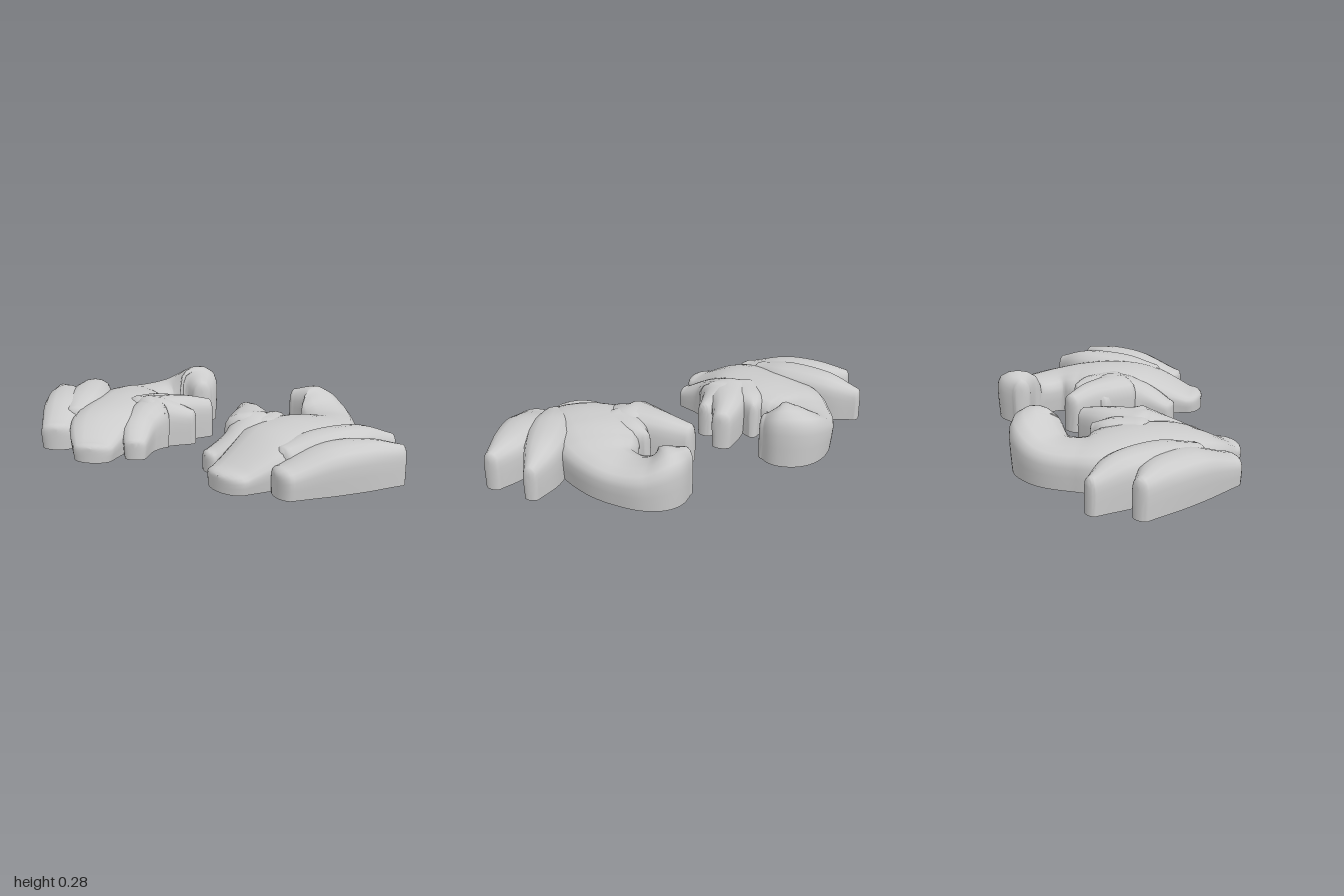
import * as THREE from 'three';
import { toCreasedNormals } from 'three/addons/utils/BufferGeometryUtils.js';

const material = new THREE.MeshStandardMaterial({ color: 0xcccccc });

// Cross-section of a lobe: [share of half width, share of height]
const half = [[0.92, 0], [0.975, 0.35], [1, 0.6], [0.96, 0.75], [0.82, 0.88], [0.45, 0.97]];
const profile = [...half.map(([u, v]) => [-u, v]), [0, 1], ...half.slice().reverse()];

// Lofted lobe along a spine of rows [x, z, half width, height], with rounded ends
function lobe(name, rows) {
  const spine = new THREE.CatmullRomCurve3(rows.map(([x, z, , h]) => new THREE.Vector3(x, h, z)), false, 'catmullrom');
  const widths = new THREE.CatmullRomCurve3(rows.map(([, , w]) => new THREE.Vector3(w, 0, 0)), false, 'catmullrom');
  const section = t => {
    const dir = spine.getTangent(t).setY(0).normalize();
    return { mid: spine.getPoint(t), dir, w: widths.getPoint(t).x };
  };

  // End rings narrow to a line and sink slightly while moving outwards
  const cap = (t, sign) => [1, 2, 3, 4, 5, 6].map(k => {
    const s = section(t), a = k / 6 * Math.PI / 2;
    s.mid.addScaledVector(s.dir, sign * s.w * 0.55 * Math.sin(a));
    s.mid.y *= 0.75 + 0.25 * Math.cos(a);
    s.w *= Math.cos(a);
    return s;
  });

  const steps = (rows.length - 1) * 8;
  const body = Array.from({ length: steps + 1 }, (_, i) => section(i / steps));
  const sections = [...cap(0, -1).reverse(), ...body, ...cap(1, 1)];

  const P = profile.length, pos = [], idx = [];
  for (const { mid, dir, w } of sections) {
    for (const [u, v] of profile) {
      pos.push(mid.x - dir.z * w * u, mid.y * v, mid.z + dir.x * w * u);
    }
  }
  for (let i = 0; i < sections.length - 1; i++) {
    for (let j = 0; j < P; j++) {
      const a = i * P + j, b = i * P + (j + 1) % P;
      idx.push(a, b, a + P, b, b + P, a + P);
    }
  }
  const geo = new THREE.BufferGeometry();
  geo.setAttribute('position', new THREE.Float32BufferAttribute(pos, 3));
  geo.setIndex(idx);
  const mesh = new THREE.Mesh(toCreasedNormals(geo, 0.95), material);
  mesh.name = name;
  return mesh;
}

// Lobes shared by both leaves; shift adjusts each one on the turned left leaf
const outerLobe = { name: 'outerLobe', shift: [0.012, 0.008], rows: [
  [0.64, 0.395, 0.085, 0.13], [0.73, 0.22, 0.115, 0.195], [0.845, 0.065, 0.098, 0.205], [0.957, -0.04, 0.042, 0.18]] };
const secondLobe = { name: 'secondLobe', shift: [-0.05, 0.03], rows: [
  [0.63, 0.26, 0.07, 0.18], [0.69, 0.1, 0.11, 0.215], [0.79, -0.1, 0.09, 0.215], [0.882, -0.23, 0.036, 0.165]] };
const innerLobe = { name: 'innerLobe', shift: [-0.008, 0], rows: [
  [0.222, 0.345, 0.055, 0.1], [0.28, 0.21, 0.09, 0.18], [0.265, 0.07, 0.12, 0.225], [0.12, 0.002, 0.04, 0.17]] };
const innerTip = { name: 'innerTip', shift: [-0.06, 0.005], rows: [
  [0.31, 0.08, 0.12, 0.225], [0.21, -0.06, 0.08, 0.215], [0.122, -0.15, 0.05, 0.19]] };
const innerSideTip = { name: 'innerSideTip', shift: [-0.045, 0.02], rows: [
  [0.37, 0.06, 0.11, 0.215], [0.34, -0.07, 0.075, 0.205], [0.31, -0.14, 0.026, 0.18]] };
const lobes = [outerLobe, secondLobe, innerLobe, innerTip, innerSideTip];

// Broad stems ending in raised curls, which differ between the leaves
const rightStem = [
  [0.38, 0.46, 0.1, 0.09], [0.45, 0.28, 0.168, 0.18], [0.48, 0.05, 0.19, 0.205], [0.545, -0.13, 0.17, 0.195],
  [0.535, -0.24, 0.138, 0.18], [0.48, -0.345, 0.132, 0.19], [0.385, -0.4, 0.126, 0.26],
  [0.305, -0.385, 0.1, 0.275], [0.255, -0.325, 0.05, 0.22]];
const leftStem = [
  [0.355, 0.465, 0.125, 0.09], [0.43, 0.25, 0.19, 0.195], [0.46, 0.05, 0.21, 0.215], [0.5, -0.1, 0.185, 0.2],
  [0.51, -0.215, 0.14, 0.18], [0.47, -0.32, 0.125, 0.17], [0.41, -0.4, 0.12, 0.19],
  [0.34, -0.435, 0.105, 0.245], [0.24, -0.425, 0.045, 0.225]];

// Turns a spine about the leaf centre, then shifts it
function turned(rows, [dx, dz], angle = 0.13, centre = 0.45) {
  const c = Math.cos(angle), s = Math.sin(angle);
  return rows.map(([x, z, w, h]) => [
    centre + (x - centre) * c - z * s + dx, (x - centre) * s + z * c + dz, w, h]);
}

const mirrored = rows => rows.map(([x, ...rest]) => [-x, ...rest]);

export function createModel() {
  const model = new THREE.Group();
  model.name = 'leafOrnaments';

  const rightLeaf = new THREE.Group();
  rightLeaf.name = 'rightLeaf';
  rightLeaf.add(lobe('stem', mirrored(rightStem)));

  const leftLeaf = new THREE.Group();
  leftLeaf.name = 'leftLeaf';
  leftLeaf.add(lobe('stem', leftStem));

  for (const { name, rows, shift } of lobes) {
    rightLeaf.add(lobe(name, mirrored(rows)));
    leftLeaf.add(lobe(name, turned(rows, shift)));
  }
  model.add(rightLeaf, leftLeaf);
  return model;
}
